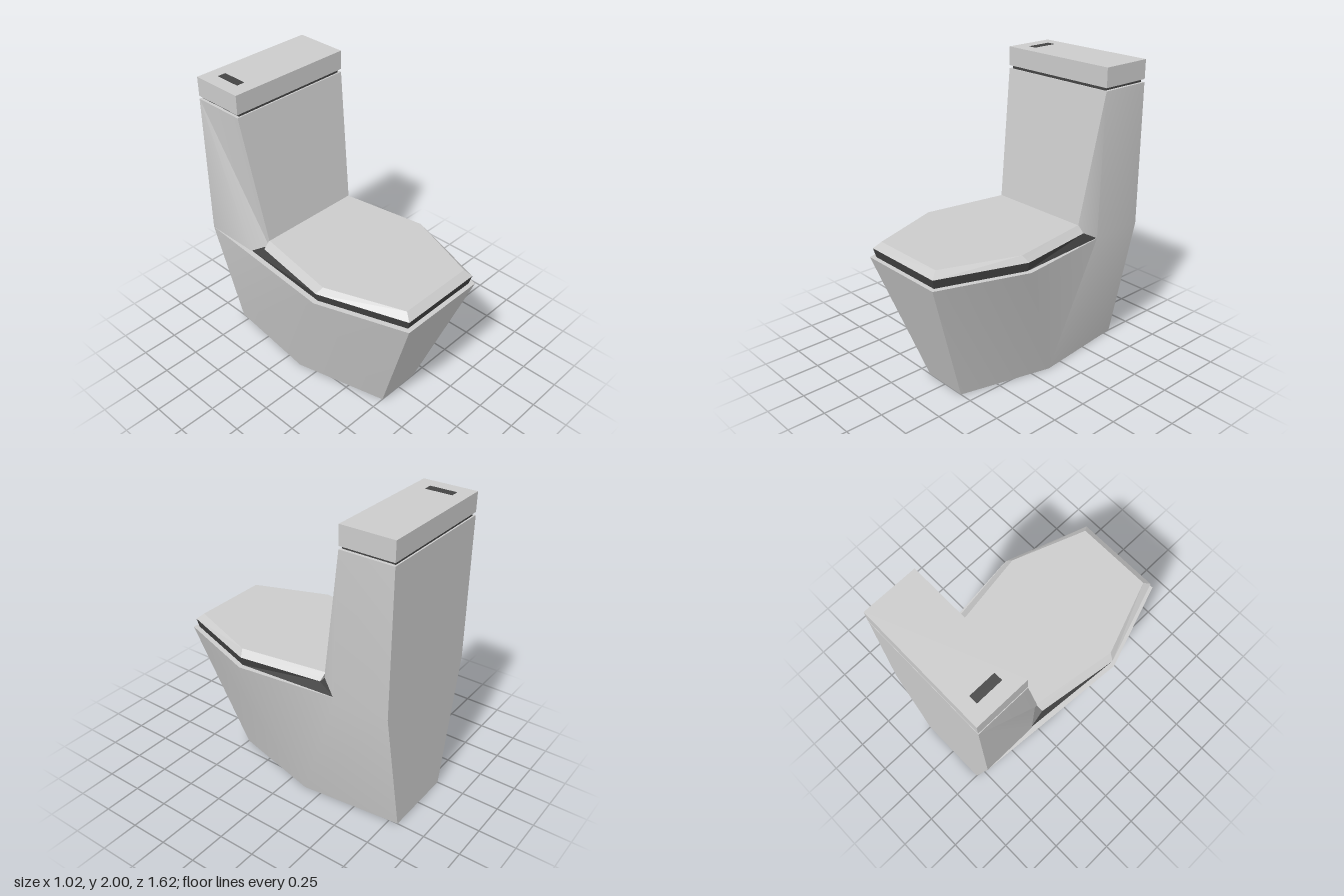
import * as THREE from 'three';
import { toCreasedNormals } from 'three/addons/utils/BufferGeometryUtils.js';

const grey = new THREE.MeshStandardMaterial({ color: 0xcccccc });
const dark = new THREE.MeshStandardMaterial({ color: 0x444444 });

const flip = ([x, y, z]) => [-x, y, z];
const mirrorFace = (face) => face.map(flip).reverse();

// Mesh from convex polygons, each cut into a fan from its first corner
function polyMesh(name, faces, material, crease) {
  const pos = [];
  for (const f of faces) {
    for (let i = 1; i < f.length - 1; i++) pos.push(...f[0], ...f[i], ...f[i + 1]);
  }
  const geo = new THREE.BufferGeometry();
  geo.setAttribute('position', new THREE.Float32BufferAttribute(pos, 3));
  const mesh = new THREE.Mesh(toCreasedNormals(geo, crease), material);
  mesh.name = name;
  return mesh;
}

// Solid between two mirrored outlines, given as their +x halves from front to back
function slab(name, lowerHalf, upperHalf, material) {
  const ring = (half) => [...half, ...mirrorFace(half)];
  const lo = ring(lowerHalf), up = ring(upperHalf);
  const sides = lo.map((p, i) => {
    const j = (i + 1) % lo.length;
    return [p, lo[j], up[j], up[i]];
  });
  return polyMesh(name, [...sides, up, [...lo].reverse()], material, 0.1);
}

function box(name, [x0, x1], [y0, y1], [z0, z1], material) {
  const mesh = new THREE.Mesh(new THREE.BoxGeometry(x1 - x0, y1 - y0, z1 - z0), material);
  mesh.position.set((x0 + x1) / 2, (y0 + y1) / 2, (z0 + z1) / 2);
  mesh.name = name;
  return mesh;
}

// Bowl and tank in one faceted shell
function makeBody() {
  const frontTop = [0.31, 0.9, 0.81], midTop = [0.51, 0.9, 0.23];
  const rimBack = [0.43, 0.9, -0.43], backTop = [0.43, 0.9, -0.81];
  const frontBot = [0.16, 0, 0.5], midBot = [0.32, 0, -0.13], backBot = [0.25, 0, -0.81];
  const foot = [0.355, 0.9, -0.305];
  const tankFront = [0.43, 1.855, -0.455], tankBack = [0.43, 1.855, -0.81];

  // Faces of the +x half
  const half = [
    [frontTop, frontBot, midBot, midTop],
    [midBot, backBot, backTop, rimBack, midTop],
    [tankFront, foot, rimBack, backTop, tankBack],
  ];
  // Faces crossing the middle: a +x edge path joined to its mirror image
  const across = (...path) => [...path, ...mirrorFace(path)];
  const centre = [
    across(frontBot, frontTop),
    across(frontTop, midTop),
    across(midTop, rimBack),
    across(foot, tankFront),
    across(tankFront, tankBack),
    across(tankBack, backTop, backBot),
    across(backBot, midBot, frontBot),
  ];
  return polyMesh('bowlAndTank', [...half, ...half.map(mirrorFace), ...centre], grey, 0.6);
}

export function createModel() {
  const model = new THREE.Group();
  model.name = 'toilet';
  model.add(makeBody());

  // Dark seat ring, flaring up to the lid
  const lidEdge = [[0.295, 0.96, 0.795], [0.49, 0.96, 0.23], [0.41, 0.96, -0.32]];
  const seatFoot = [[0.285, 0.9, 0.78], [0.475, 0.9, 0.23], [0.425, 0.9, -0.43]];
  model.add(slab('seat', seatFoot, lidEdge, dark));

  // Lid with bevelled rim
  const lidTop = [[0.265, 1, 0.75], [0.45, 1, 0.25], [0.36, 1, -0.325]];
  model.add(slab('lid', lidEdge, lidTop, grey));

  // Tank cover on a recessed dark joint, with the flush button
  model.add(box('tankJoint', [-0.41, 0.41], [1.85, 1.88], [-0.8, -0.465], dark));
  model.add(box('tankCover', [-0.43, 0.43], [1.875, 2], [-0.81, -0.455], grey));
  model.add(box('flushButton', [-0.34, -0.285], [1.98, 2.002], [-0.725, -0.55], dark));
  return model;
}
